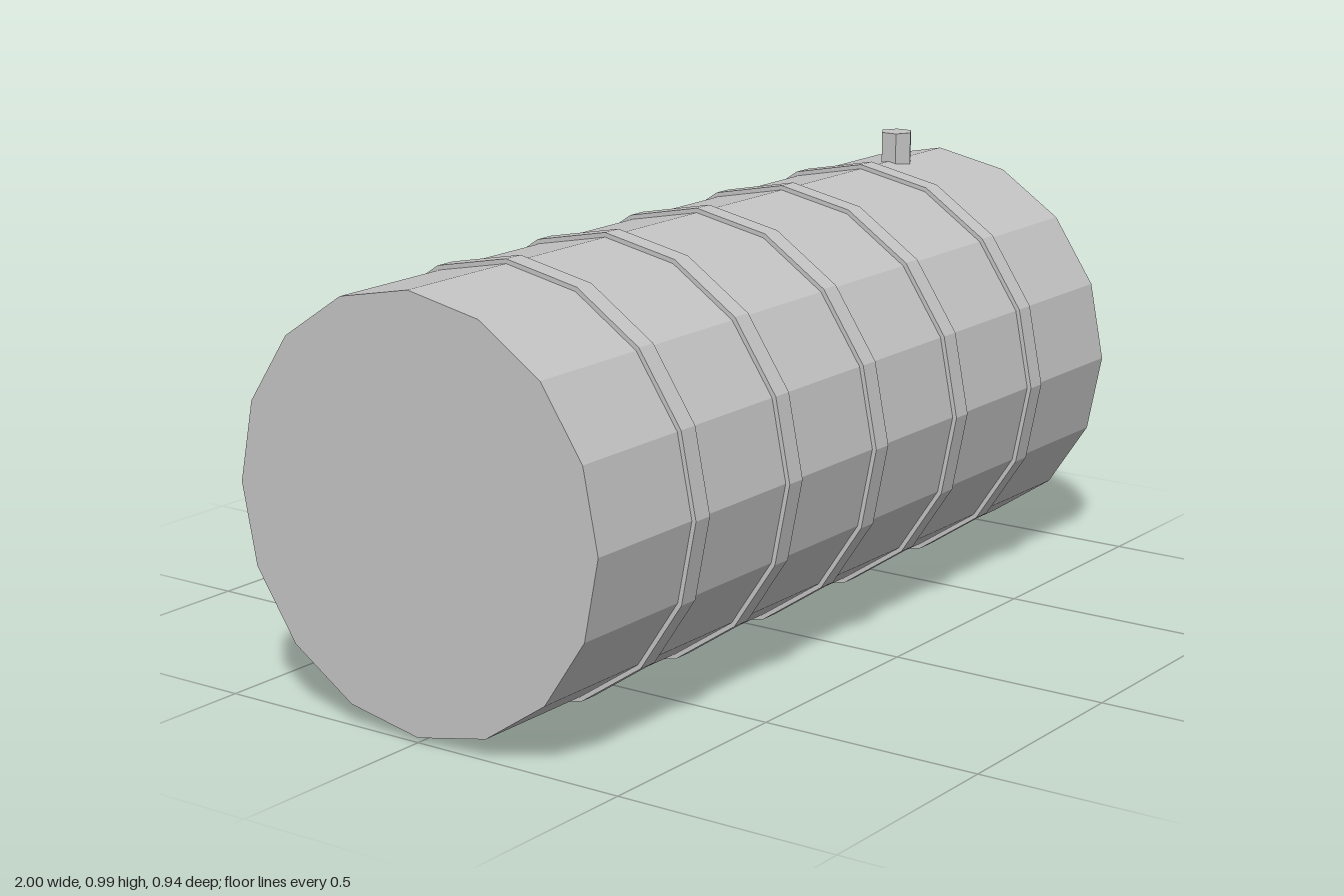
import * as THREE from 'three';

const AXIS_Y = 0.468;

export function createModel() {
  const group = new THREE.Group();
  group.name = 'storageTank';
  const grey = new THREE.MeshStandardMaterial({ color: 0xc4c4c4, flatShading: true });
  grey.name = 'plain grey';

  const add = (name, geometry, x, y, z) => {
    const mesh = new THREE.Mesh(geometry, grey);
    mesh.name = name;
    mesh.position.set(x, y, z);
    group.add(mesh);
  };
  // Sixteen-sided drum lying along x
  const drum = (radius, length) =>
    new THREE.CylinderGeometry(radius, radius, length, 16).rotateZ(-Math.PI / 2);

  // Tank body
  add('tankBody', drum(0.458, 1.963), -0.0185, AXIS_Y, 0);

  // Raised hoops around the body
  for (let i = 0; i < 5; i++) {
    add(`hoop${i + 1}`, drum(0.468, 0.047), -0.675 + i * 0.327, AXIS_Y, 0);
  }

  // Filler pipe on top
  add('fillerPipe', new THREE.CylinderGeometry(0.0385, 0.0385, 0.074, 6), 0.764, 0.956, 0);

  // Diagonal row of faceted knobs on the right-hand end
  for (const i of [-1, 0, 1]) {
    add(`knob${i + 2}`, new THREE.SphereGeometry(0.051, 4, 3), 0.956, AXIS_Y + 0.001 + i * 0.157, i * 0.197);
  }
  return group;
}
